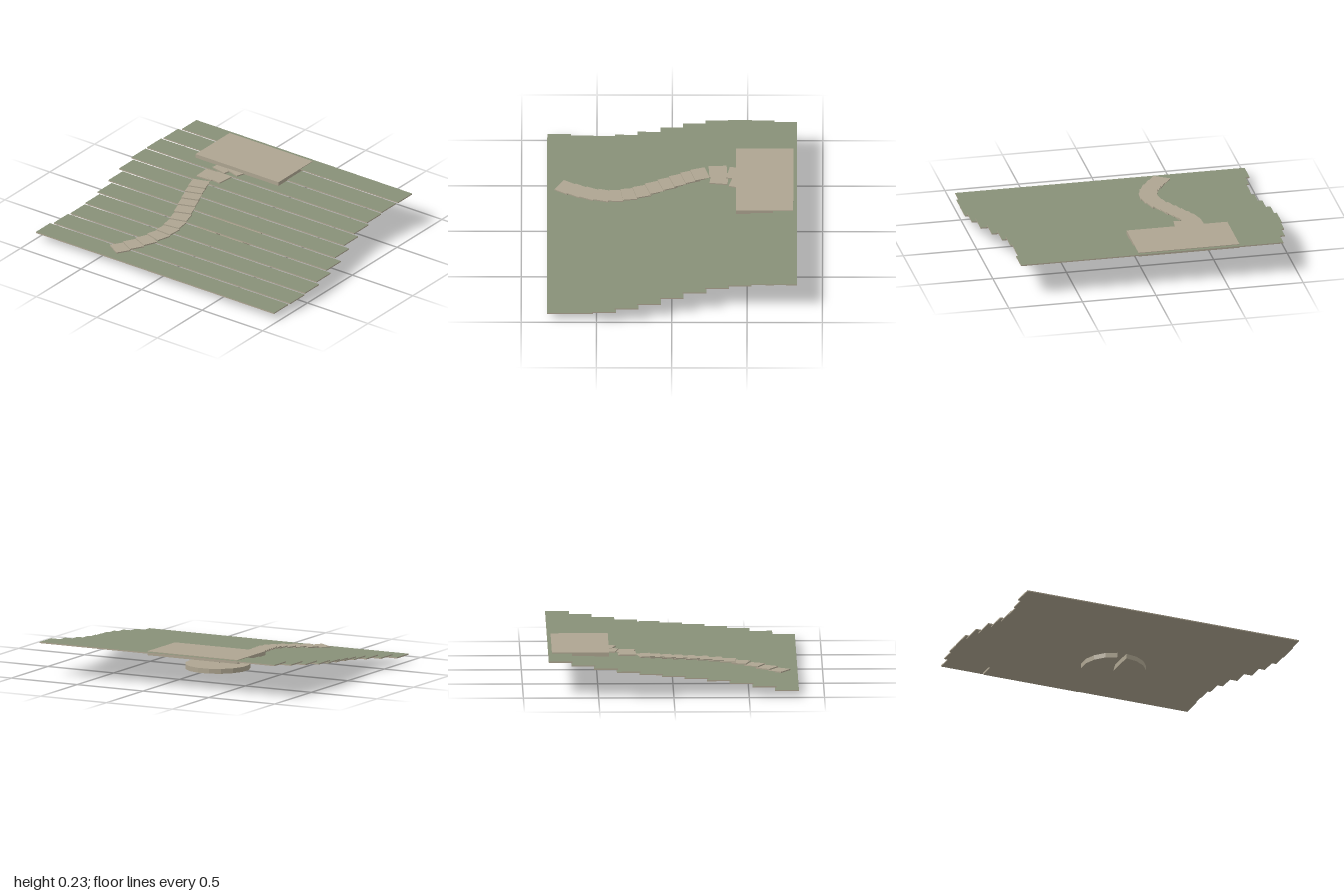
import * as THREE from 'three';

export function createModel() {
  const model = new THREE.Group();
  model.name = 'terracedHillside';
  const material = (name, color) => {
    const m = new THREE.MeshStandardMaterial({ color });
    m.name = name;
    return m;
  };
  const grass = material('grass', 0x889078);
  const stone = material('stone', 0xaea591);

  const addBox = (parent, name, size, position, mat, turn = 0) => {
    const mesh = new THREE.Mesh(new THREE.BoxGeometry(...size), mat);
    mesh.name = name;
    mesh.position.set(...position);
    mesh.rotation.y = turn;
    parent.add(mesh);
  };

  // Terraces: overlapping slabs climbing to the back, grass on top
  const ends = [
    [-1, 0.967], [-0.963, 0.99], [-0.936, 1], [-0.925, 0.985], [-0.935, 0.958], [-0.957, 0.915],
    [-0.98, 0.878], [-0.99, 0.852], [-0.973, 0.847], [-0.945, 0.857], [-0.903, 0.88],
  ];
  const terraces = new THREE.Group();
  terraces.name = 'terraces';
  const depth = 0.158, run = 0.1502, rise = 0.0176;
  const slabMaterials = [stone, stone, grass, stone, stone, stone];
  ends.forEach(([left, right], i) => addBox(
    terraces, 'terrace', [right - left, 0.008, depth],
    [(left + right) / 2, 0.048 + rise * i, 0.83 - depth / 2 - run * i], slabMaterials));
  model.add(terraces);

  // Building platform at the top of the slope
  addBox(model, 'platform', [0.685, 0.027, 0.38], [-0.267, 0.2185, -0.615], stone);

  // Winding path: one thin step at each point, turned along the curve
  const path = new THREE.Group();
  path.name = 'path';
  const points = [
    [-0.393, 0.708], [-0.343, 0.628], [-0.298, 0.545], [-0.264, 0.455], [-0.248, 0.37],
    [-0.253, 0.285], [-0.27, 0.2], [-0.3, 0.115], [-0.33, 0.03], [-0.356, -0.045],
    [-0.382, -0.12], [-0.402, -0.185],
  ];
  const curve = new THREE.CatmullRomCurve3(points.map(([x, z]) => new THREE.Vector3(x, 0, z)));
  const stepHeight = (z) => 0.054 + 0.117 * (0.83 - z);
  points.forEach(([x, z], i) => {
    const t = curve.getTangent(i / (points.length - 1));
    addBox(path, 'step', [0.12, 0.008, 0.1], [x, stepHeight(z), z], stone, Math.atan2(-t.x, -t.z));
  });
  // Irregular last steps below the platform
  for (const [x, z, turn] of [[-0.41, -0.305, 0.05], [-0.335, -0.315, -0.12], [-0.37, -0.43, -0.2], [-0.27, -0.45, -0.3]]) {
    addBox(path, 'landingStep', [0.12, 0.008, 0.12], [x, stepHeight(z), z], stone, turn);
  }
  model.add(path);

  // Round base under the slope with a narrow wedge left out at the front
  const radius = 0.218, sides = 16, sweep = Math.PI * 2 - 0.28;
  const outline = new THREE.Shape();
  outline.moveTo(0, 0);
  for (let i = 0; i <= sides; i++) {
    const a = (sweep * i) / sides;
    outline.lineTo(radius * Math.sin(a), -radius * Math.cos(a));
  }
  outline.closePath();
  const disc = new THREE.Mesh(
    new THREE.ExtrudeGeometry(outline, { depth: 0.033, bevelEnabled: false }), stone);
  disc.name = 'roundBase';
  disc.rotation.x = -Math.PI / 2;
  disc.position.set(-0.015, 0, -0.005);
  model.add(disc);

  return model;
}
